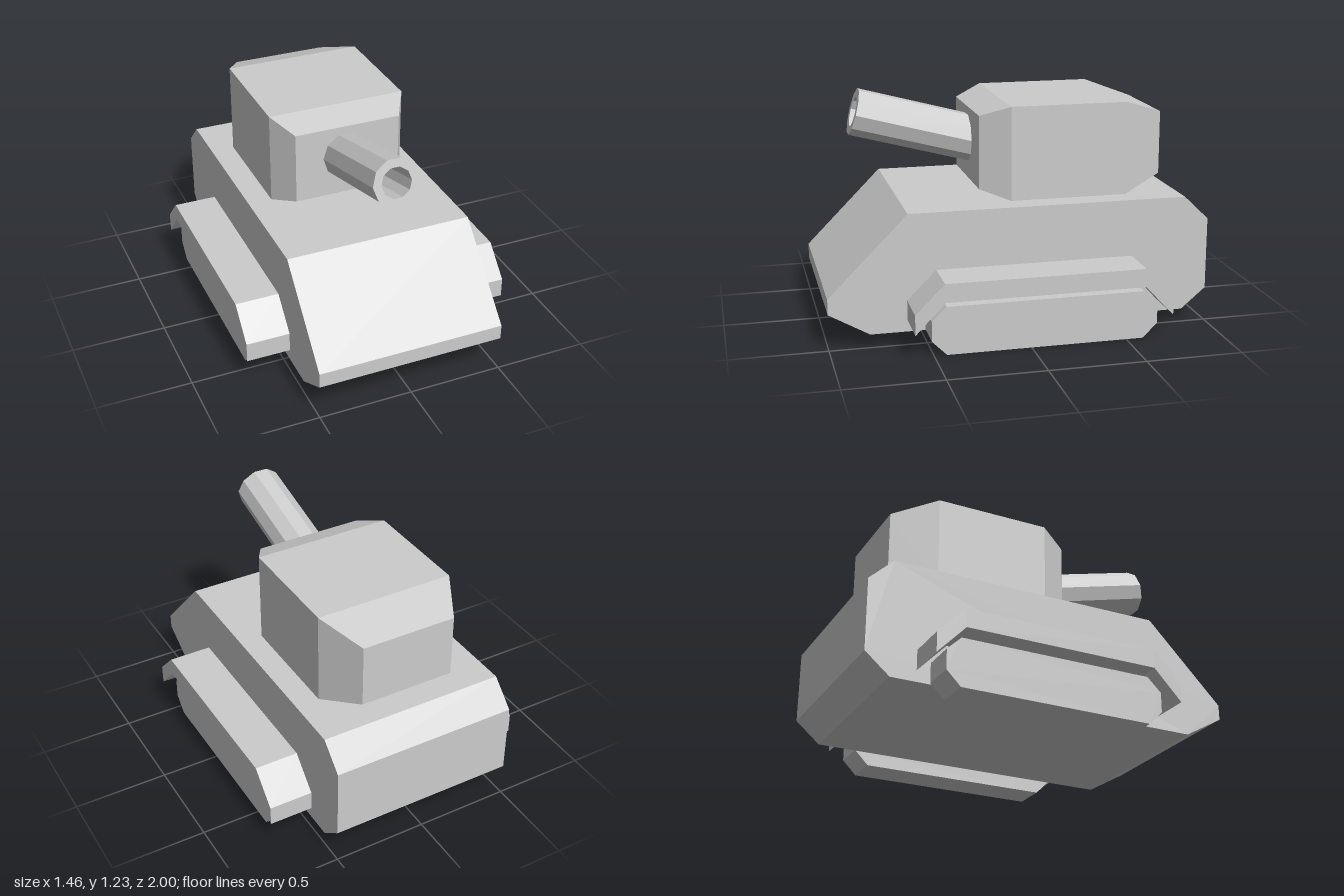
import * as THREE from 'three';

const material = new THREE.MeshStandardMaterial({ color: 0xcccccc, flatShading: true });

function addMesh(parent, name, geometry) {
  const mesh = new THREE.Mesh(geometry, material);
  mesh.name = name;
  parent.add(mesh);
  return mesh;
}

// Side profile given as [z, y] points, extruded from x0 to x1
function sideExtrude(points, x0, x1) {
  const shape = new THREE.Shape(points.map(([z, y]) => new THREE.Vector2(z, y)));
  const geometry = new THREE.ExtrudeGeometry(shape, { depth: x1 - x0, bevelEnabled: false });
  return geometry.rotateY(-Math.PI / 2).translate(x1, 0, 0);
}

// Closed solid through rectangular sections [z, halfWidth, bottom, top], ordered back to front
function loftBox(sections) {
  const positions = [];
  const index = [];
  for (const [z, w, bottom, top] of sections) {
    positions.push(-w, bottom, z, w, bottom, z, w, top, z, -w, top, z);
  }
  for (let s = 0; s < sections.length - 1; s++) {
    for (let i = 0; i < 4; i++) {
      const a = s * 4 + i;
      const b = s * 4 + (i + 1) % 4;
      index.push(a, b, b + 4, a, b + 4, a + 4);
    }
  }
  const f = (sections.length - 1) * 4;
  index.push(0, 2, 1, 0, 3, 2, f, f + 1, f + 2, f, f + 2, f + 3);
  const geometry = new THREE.BufferGeometry();
  geometry.setAttribute('position', new THREE.Float32BufferAttribute(positions, 3));
  geometry.setIndex(index);
  const flat = geometry.toNonIndexed();
  flat.computeVertexNormals();
  return flat;
}

// Regular polygon with a corner on the +x axis
function polygon(radius, sides) {
  return Array.from({ length: sides }, (_, i) => {
    const a = (i / sides) * Math.PI * 2;
    return new THREE.Vector2(Math.cos(a) * radius, Math.sin(a) * radius);
  });
}

export function createModel() {
  const model = new THREE.Group();
  model.name = 'tank';

  // Hull
  addMesh(model, 'hull', sideExtrude([
    [1, 0.27], [0.59, 0.685], [-0.87, 0.685], [-1, 0.56],
    [-1, 0.18], [-0.87, 0.07], [0.79, 0.07], [1, 0.19],
  ], -0.5, 0.5));

  // Tracks and their fenders
  const trackProfile = [
    [0.435, 0], [0.51, 0.075], [0.51, 0.18], [0.435, 0.252],
    [-0.59, 0.252], [-0.665, 0.18], [-0.665, 0.075], [-0.59, 0],
  ];
  const fenderProfile = [
    [0.6, 0.13], [0.6, 0.235], [0.45, 0.385], [-0.585, 0.385],
    [-0.735, 0.235], [-0.735, 0.13], [-0.585, 0.288], [0.45, 0.288],
  ];
  for (const [side, s] of [['left', 1], ['right', -1]]) {
    const span = (a, b) => (s > 0 ? [a, b] : [-b, -a]);
    addMesh(model, side + 'Track', sideExtrude(trackProfile, ...span(0.503, 0.688)));
    addMesh(model, side + 'Fender', sideExtrude(fenderProfile, ...span(0.5, 0.732)));
  }

  // Turret with tapered front and back
  addMesh(model, 'turret', loftBox([
    [-0.81, 0.255, 0.76, 1.095],
    [-0.585, 0.373, 0.685, 1.175],
    [0.03, 0.373, 0.685, 1.175],
    [0.18, 0.288, 0.735, 1.12],
  ]));

  // Hollow ten-sided gun barrel, tilted upward
  const tilt = THREE.MathUtils.degToRad(15);
  const length = 0.668;
  const ring = new THREE.Shape(polygon(0.125, 10));
  ring.holes.push(new THREE.Path(polygon(0.08, 10).reverse()));
  const barrel = addMesh(model, 'gunBarrel',
    new THREE.ExtrudeGeometry(ring, { depth: length, bevelEnabled: false }).translate(0, 0, -length));
  barrel.rotation.x = -tilt;
  barrel.position.set(-0.01, 1.115, 0.785);

  return model;
}
